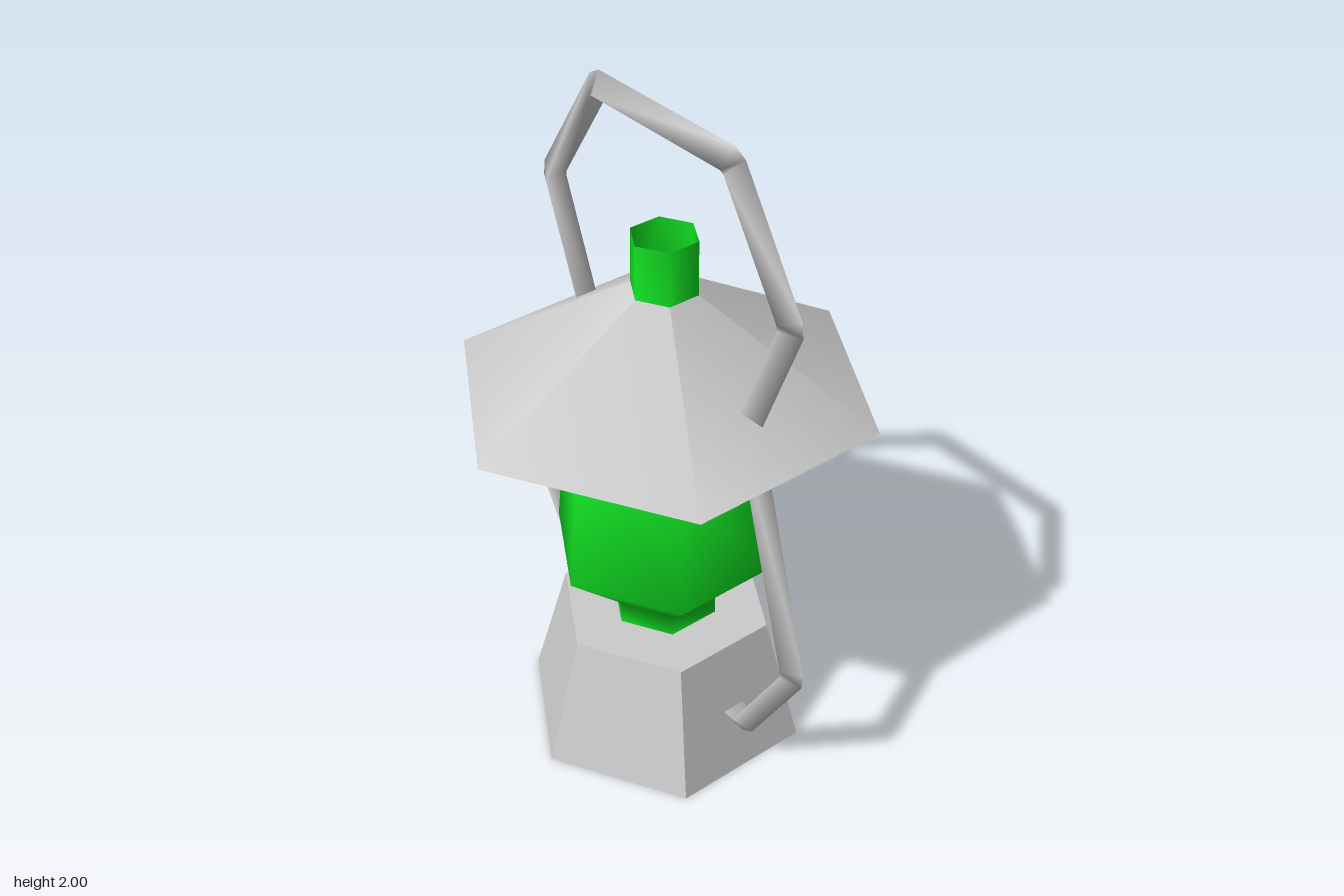
import * as THREE from 'three';

const SIDES = 6;

function add(group, name, geometry, material, y = 0) {
  const mesh = new THREE.Mesh(geometry, material);
  mesh.name = name;
  mesh.position.y = y;
  group.add(mesh);
}

// Closed loop of triangular bar: the ridge follows the outline, the flat side faces inward
function handleGeometry() {
  const cut = 0.025, depth = 0.058, halfWidth = 0.034;
  const right = [[0.395, 0.145], [0.615, 0.51], [0.4, 1.25], [0.545, 1.615], [0.295, 2]];
  const left = right.map(([x, y]) => [-x, y]).reverse();
  const corners = [...right, ...left].map(([x, y]) => new THREE.Vector2(x, y));

  // Cut every outward corner into two points
  const path = [];
  corners.forEach((p, i) => {
    const before = corners.at(i - 1), after = corners[(i + 1) % corners.length];
    const a = before.clone().sub(p).setLength(cut);
    const b = after.clone().sub(p).setLength(cut);
    if (b.cross(a) > 0) path.push(a.add(p), b.add(p));
    else path.push(p);
  });

  const n = path.length, positions = [], index = [];
  const outward = (a, b) => new THREE.Vector2(b.y - a.y, a.x - b.x).normalize();
  path.forEach((p, i) => {
    const n1 = outward(path.at(i - 1), p);
    const n2 = outward(p, path[(i + 1) % n]);
    const miter = n1.clone().add(n2).divideScalar(1 + n1.dot(n2));
    const inner = p.clone().addScaledVector(miter, -depth);
    positions.push(p.x, p.y, 0, inner.x, inner.y, halfWidth, inner.x, inner.y, -halfWidth);
    for (let k = 0; k < 3; k++) {
      const a = i * 3 + k, b = i * 3 + (k + 1) % 3;
      const d = ((i + 1) % n) * 3 + k, c = ((i + 1) % n) * 3 + (k + 1) % 3;
      index.push(a, d, c, a, c, b);
    }
  });
  const geometry = new THREE.BufferGeometry();
  geometry.setAttribute('position', new THREE.Float32BufferAttribute(positions, 3));
  geometry.setIndex(index);
  geometry.computeVertexNormals();
  return geometry;
}

export function createModel() {
  const group = new THREE.Group();
  group.name = 'lantern';
  const flat = new THREE.MeshStandardMaterial({ color: 0xcccccc, flatShading: true });
  const smooth = new THREE.MeshStandardMaterial({ color: 0xcccccc, side: THREE.DoubleSide });
  const green = new THREE.MeshStandardMaterial({ color: 0x11e022, side: THREE.DoubleSide });

  // Tapered foot
  add(group, 'base', new THREE.CylinderGeometry(0.32, 0.43, 0.4, SIDES), flat, 0.2);

  // Glass body running up into the open chimney
  const profile = [[0.16, 0.4], [0.16, 0.47], [0.335, 0.63], [0.295, 1.06], [0.098, 1.23], [0.096, 1.64]];
  const points = profile.map(([r, y]) => new THREE.Vector2(r, y));
  add(group, 'globeAndChimney', new THREE.LatheGeometry(points, SIDES), green);

  // Thin shade, open underneath
  const roofHeight = 0.368;
  add(group, 'roof', new THREE.ConeGeometry(0.608, roofHeight, SIDES, 1, true), smooth, 1.17 + roofHeight / 2);

  // Carrying frame
  add(group, 'handle', handleGeometry(), smooth);
  return group;
}
